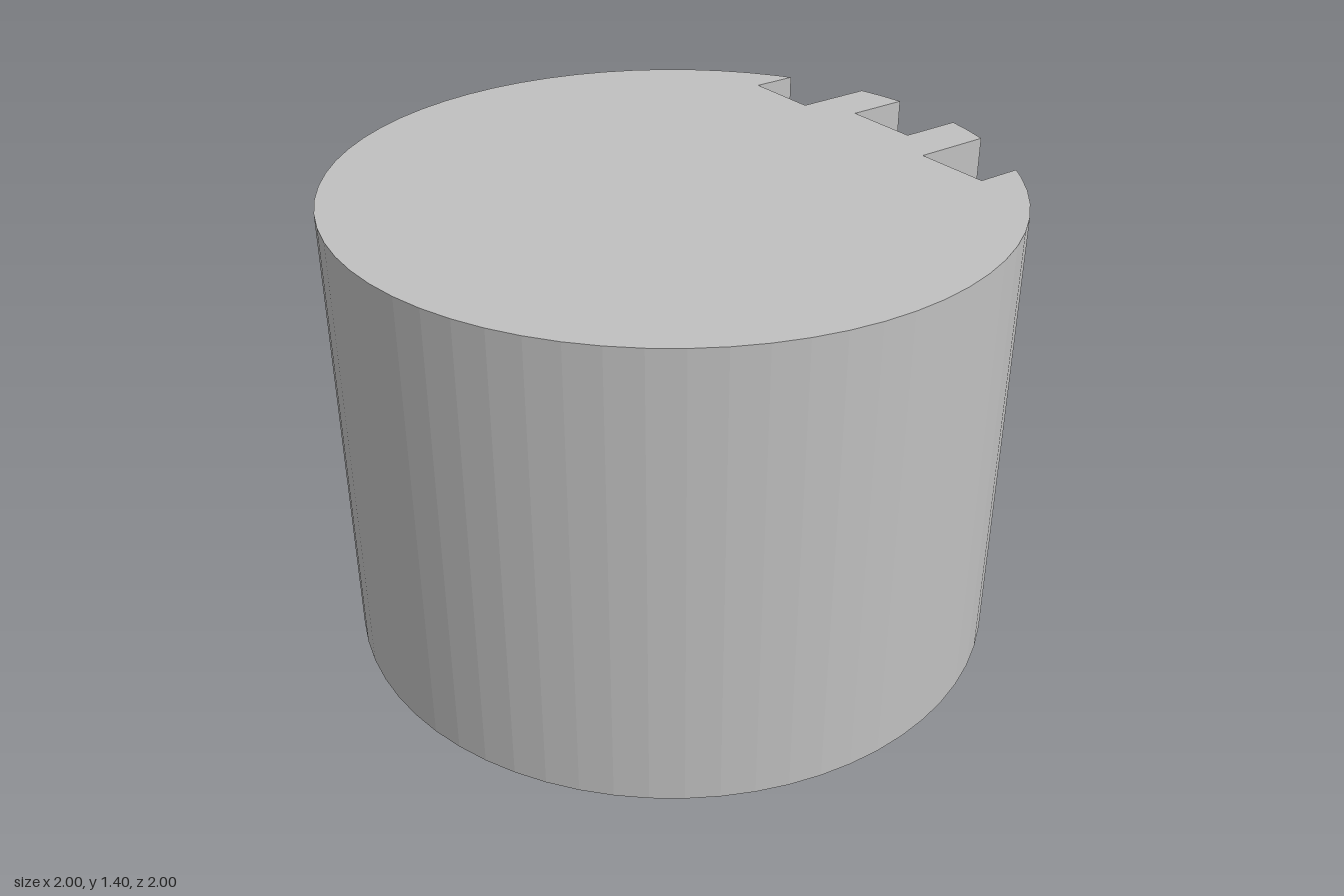
import * as THREE from 'three';

const STEP = Math.PI / 32; // 64-sided outline
const HEIGHT = 1.4, FLOOR = 1.2;

// Points on a circle from angle a to b, keeping the 64-sided corners between
function arc(r, a, b) {
  const at = (t) => new THREE.Vector2(r * Math.cos(t), r * Math.sin(t));
  const pts = [at(a)];
  for (let i = Math.floor(a / STEP + 1e-6) + 1; i * STEP < b - 1e-6; i++) pts.push(at(i * STEP));
  pts.push(at(b));
  return pts;
}

// Upright slab of a plan shape (shape +y becomes the back, -z)
function slab(shape, y0, y1, material, name) {
  const geo = new THREE.ExtrudeGeometry(shape, { depth: y1 - y0, bevelEnabled: false });
  geo.rotateX(-Math.PI / 2).translate(0, y0, 0);
  const mesh = new THREE.Mesh(geo, material);
  mesh.name = name;
  return mesh;
}

// Splined bore: eight square ribs pointing inward
function boreOutline() {
  const R = 0.64, TIP = 0.535, HALF = 0.067, N = 8;
  const pitch = (2 * Math.PI) / N, da = Math.asin(HALF / R);
  const pts = [];
  for (let k = 0; k < N; k++) {
    const a = k * pitch, o = new THREE.Vector2();
    pts.push(new THREE.Vector2(TIP, -HALF).rotateAround(o, a));
    pts.push(new THREE.Vector2(TIP, HALF).rotateAround(o, a));
    pts.push(...arc(R, a + da, a + pitch - da));
  }
  return pts;
}

// Round outline with three square notches in the back edge
function notchedOutline() {
  const notches = [[0.51, 0.27, 0.72], [0.12, -0.12, 0.8], [-0.27, -0.51, 0.72]];
  const pts = [];
  let start = 0;
  for (const [x0, x1, depth] of notches) {
    pts.push(...arc(1, start, Math.acos(x0)));
    pts.push(new THREE.Vector2(x0, depth), new THREE.Vector2(x1, depth));
    start = Math.acos(x1);
  }
  pts.push(...arc(1, start, 2 * Math.PI).slice(0, -1));
  return pts;
}

export function createModel() {
  const group = new THREE.Group();
  group.name = 'splinedCap';
  const grey = new THREE.MeshStandardMaterial({ color: 0xc0c0c0 });
  grey.name = 'light grey';

  // Hollow body with the ribbed bore
  const ring = new THREE.Shape(arc(1, 0, 2 * Math.PI).slice(0, -1));
  ring.holes.push(new THREE.Path(boreOutline()));
  group.add(slab(ring, 0, FLOOR, grey, 'splinedBody'));

  // Solid top closing the bore
  group.add(slab(new THREE.Shape(notchedOutline()), FLOOR, HEIGHT, grey, 'notchedTop'));
  return group;
}
